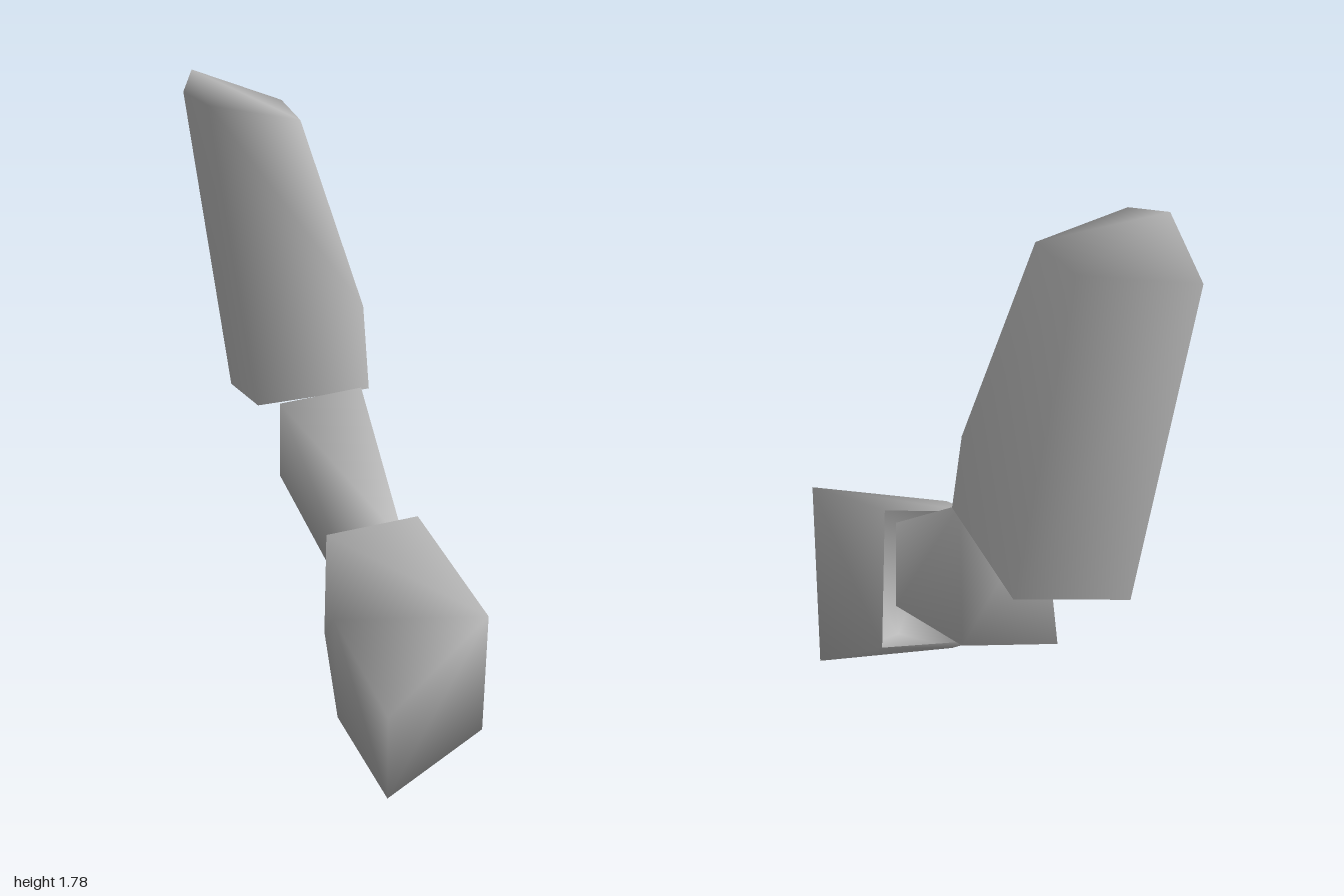
import * as THREE from 'three';

const grey = new THREE.MeshStandardMaterial({ color: 0xb4b4b4, side: THREE.DoubleSide });
grey.name = 'plain grey';

// Smooth shell from named corners and polygon outlines; faces are turned outward.
function shell(name, corners, outlines) {
  const keys = Object.keys(corners);
  const pts = keys.map((k) => new THREE.Vector3(...corners[k]));
  const centre = pts.reduce((s, p) => s.add(p), new THREE.Vector3()).divideScalar(pts.length);
  const index = [];
  for (const outline of outlines) {
    const ids = outline.split(' ').map((k) => keys.indexOf(k));
    for (let i = 1; i < ids.length - 1; i++) {
      const [a, b, c] = [ids[0], ids[i], ids[i + 1]];
      const tri = new THREE.Triangle(pts[a], pts[b], pts[c]);
      const normal = tri.getNormal(new THREE.Vector3());
      const out = tri.getMidpoint(new THREE.Vector3()).sub(centre);
      index.push(...(normal.dot(out) > 0 ? [a, b, c] : [a, c, b]));
    }
  }
  const geometry = new THREE.BufferGeometry().setFromPoints(pts);
  geometry.setIndex(index);
  geometry.computeVertexNormals();
  const mesh = new THREE.Mesh(geometry, grey);
  mesh.name = name;
  return mesh;
}

export function createModel() {
  const group = new THREE.Group();
  group.name = 'limb';

  // Tall upper segment, open at its lower end
  group.add(shell('upperSegment', {
    topFront: [-0.31, 1.74, -0.48], apex: [-0.32, 1.785, -0.75], topBack: [-0.31, 1.645, -1.0],
    outerBack: [-0.02, 1.65, -0.82], outerFront: [-0.02, 1.67, -0.51],
    bulge: [0.155, 1.085, -0.39],
    lowFrontIn: [-0.2, 0.81, -0.31], lowBackIn: [-0.2, 0.69, -0.81],
    lowBackOut: [0.155, 0.74, -0.815], lowFrontOut: [0.155, 0.84, -0.305],
  }, [
    'apex topBack outerBack outerFront topFront',
    'apex topFront topBack',
    'topFront lowFrontIn lowBackIn topBack',
    'topBack lowBackIn lowBackOut outerBack',
    'bulge outerFront outerBack lowBackOut lowFrontOut',
    'bulge lowFrontOut lowFrontIn topFront outerFront',
  ]));

  // Slanted middle segment, tucked into the end block
  group.add(shell('middleSegment', {
    backTopIn: [-0.13, 0.81, -0.31], backTopOut: [0.13, 0.845, -0.305],
    backLowOut: [0.205, 0.5, -0.535], backLowIn: [-0.09, 0.465, -0.535],
    frontTopIn: [-0.07, 0.57, 0.3], frontTopOut: [0.13, 0.585, 0.3],
    frontLowOut: [0.165, 0.345, 0.2], frontLowIn: [0.0, 0.31, 0.2],
  }, [
    'backTopIn backTopOut frontTopOut frontTopIn',
    'backTopOut backLowOut frontLowOut frontTopOut',
    'backLowOut backLowIn frontLowIn frontLowOut',
    'backLowIn backTopIn frontTopIn frontLowIn',
    'backTopIn backTopOut backLowOut backLowIn',
    'frontTopIn frontTopOut frontLowOut frontLowIn',
  ]));

  // Faceted end block, open toward the middle segment
  group.add(shell('endBlock', {
    rimTopIn: [-0.1, 0.61, 0.26], rimTopOut: [0.18, 0.645, 0.26],
    rimLowOut: [0.235, 0.24, 0.13], rimLowIn: [-0.08, 0.22, 0.13],
    crown: [0.26, 0.56, 0.79], nose: [-0.08, 0.385, 1.0], cheek: [-0.155, 0.515, 0.63],
    toe: [-0.03, 0, 0.785], heel: [0.32, 0.05, 0.53], under: [-0.1, 0.08, 0.42],
  }, [
    'rimTopIn rimTopOut crown cheek',
    'cheek crown nose',
    'crown rimTopOut rimLowOut heel',
    'crown heel toe nose',
    'cheek nose toe under',
    'cheek under rimLowIn rimTopIn',
    'under toe heel rimLowOut rimLowIn',
  ]));

  return group;
}
